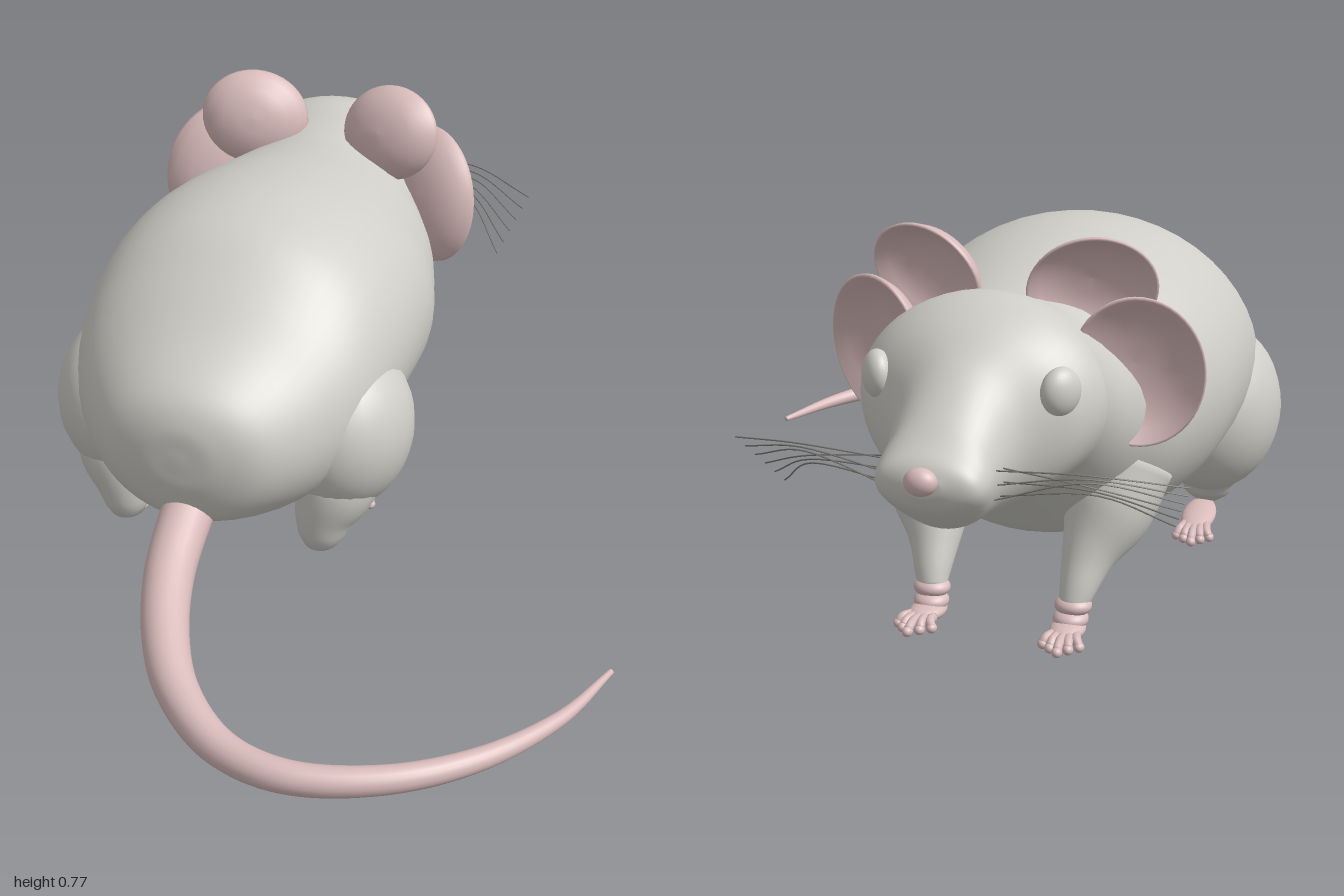
import * as THREE from 'three';

const V = (x, y, z) => new THREE.Vector3(x, y, z);
const CX = -0.24; // centre line of the animal

const fur = new THREE.MeshStandardMaterial({ color: 0xcfcec8 });
fur.name = 'greyFur';
const skin = new THREE.MeshStandardMaterial({ color: 0xd9bcbb });
skin.name = 'pinkSkin';
const hair = new THREE.MeshStandardMaterial({ color: 0x77766f });
hair.name = 'whiskerGrey';

function part(parent, name, geometry, material) {
  const m = new THREE.Mesh(geometry, material);
  m.name = name;
  parent.add(m);
  return m;
}

// Closed smooth surface through a list of rings (equal point counts)
function loft(rings) {
  const n = rings[0].length, pos = [], idx = [];
  rings.forEach(r => r.forEach(p => pos.push(p.x, p.y, p.z)));
  for (let i = 0; i < rings.length - 1; i++) {
    for (let j = 0; j < n; j++) {
      const a = i * n + j, b = i * n + (j + 1) % n;
      idx.push(a, b, a + n, b, b + n, a + n);
    }
  }
  [rings[0], rings[rings.length - 1]].forEach((ring, end) => {
    const c = ring.reduce((s, p) => s.add(p), V(0, 0, 0)).divideScalar(n);
    const k = pos.length / 3, base = end ? (rings.length - 1) * n : 0;
    pos.push(c.x, c.y, c.z);
    for (let j = 0; j < n; j++) {
      const a = base + j, b = base + (j + 1) % n;
      if (end) idx.push(k, a, b); else idx.push(k, b, a);
    }
  });
  const g = new THREE.BufferGeometry();
  g.setAttribute('position', new THREE.Float32BufferAttribute(pos, 3));
  g.setIndex(idx);
  g.computeVertexNormals();
  return g;
}

// Tapering tube through points [x, y, z, radius]
function limb(points, steps, sides) {
  const curve = new THREE.CatmullRomCurve3(points.map(p => V(p[0], p[1], p[2])));
  const radius = new THREE.CatmullRomCurve3(points.map(p => V(p[3], 0, 0)), false, 'catmullrom');
  const frames = curve.computeFrenetFrames(steps, false);
  const rings = [];
  for (let i = 0; i <= steps; i++) {
    const u = i / steps, c = curve.getPointAt(u);
    const r = radius.getPoint(curve.getUtoTmapping(u)).x;
    rings.push(Array.from({ length: sides }, (_, j) => {
      const a = j / sides * Math.PI * 2;
      return c.clone().addScaledVector(frames.normals[i], r * Math.cos(a))
        .addScaledVector(frames.binormals[i], r * Math.sin(a));
    }));
  }
  return loft(rings);
}

function ball(parent, name, material, x, y, z, rx, ry = rx, rz = rx) {
  const m = part(parent, name, new THREE.SphereGeometry(1, 28, 20), material);
  m.position.set(x, y, z);
  m.scale.set(rx, ry, rz);
  return m;
}

// Body and head stations: z, top, bottom, half width
const STATIONS = [
  [0.457, 0.345, 0.315, 0.015], [0.45, 0.41, 0.25, 0.09], [0.41, 0.47, 0.17, 0.18],
  [0.3, 0.54, 0.115, 0.27], [0.2, 0.61, 0.105, 0.32], [0.1, 0.67, 0.1, 0.34],
  [0, 0.695, 0.1, 0.352], [-0.1, 0.7, 0.1, 0.355], [-0.2, 0.69, 0.1, 0.35],
  [-0.3, 0.675, 0.11, 0.325], [-0.4, 0.655, 0.14, 0.295], [-0.5, 0.645, 0.21, 0.245],
  [-0.6, 0.675, 0.285, 0.225], [-0.66, 0.673, 0.305, 0.233], [-0.73, 0.642, 0.303, 0.2],
  [-0.8, 0.59, 0.3, 0.125], [-0.87, 0.53, 0.31, 0.105], [-0.92, 0.487, 0.34, 0.103],
  [-0.955, 0.46, 0.37, 0.085], [-0.972, 0.435, 0.4, 0.03]
];

function bodyGeometry() {
  const line = f => new THREE.CatmullRomCurve3(STATIONS.map(f), false, 'catmullrom', 0.5);
  const heights = line(s => V(s[0], s[1], s[2])), widths = line(s => V(s[3], 0, 0));
  const rings = [];
  for (let i = 0; i <= 110; i++) {
    const h = heights.getPoint(i / 110), w = widths.getPoint(i / 110).x;
    rings.push(Array.from({ length: 48 }, (_, j) => {
      const a = j / 48 * Math.PI * 2;
      return V(CX + w * Math.cos(a), (h.y + h.z) / 2 - (h.y - h.z) / 2 * Math.sin(a), h.x);
    }));
  }
  return loft(rings);
}

// Shallow bowl that opens along the given direction
const EAR = [[0, -0.035], [0.3, -0.033], [0.6, -0.024], [0.85, -0.006], [0.98, 0.016],
  [1, 0.024], [0.96, 0.026], [0.82, 0.008], [0.58, -0.01], [0.3, -0.018], [0, -0.02]];
function ear(parent, name, at, facing, w, h, roll) {
  const m = part(parent, name,
    new THREE.LatheGeometry(EAR.map(p => new THREE.Vector2(...p)), 48), skin);
  const n = facing.normalize();
  const x = V(0, 1, 0).cross(n).normalize();
  m.quaternion.setFromRotationMatrix(new THREE.Matrix4().makeBasis(x, n, x.clone().cross(n)));
  m.quaternion.premultiply(new THREE.Quaternion().setFromAxisAngle(n, roll));
  m.scale.set(w, 1, h);
  m.position.copy(at);
}

// Foot pad with a fan of small toes, pointing to -z
function foot(parent, name, x, z, halfWidth, halfLength, toeReach, turn) {
  const g = new THREE.Group();
  g.name = name;
  ball(g, 'pad', skin, 0, 0.02, 0, halfWidth, 0.017, halfLength);
  for (let i = -2; i <= 2; i++) {
    const reach = -halfLength - toeReach + Math.abs(i) * 0.017;
    const tx = i * 0.015;
    part(g, 'toe', limb([[tx * 0.7, 0.018, -halfLength * 0.5, 0.011],
      [tx, 0.021, (reach - halfLength) / 2, 0.009], [tx * 1.15, 0.012, reach, 0.009]], 8, 10), skin);
    ball(g, 'toeTip', skin, tx * 1.15, 0.011, reach, 0.01, 0.01, 0.012);
  }
  g.position.set(x, 0, z);
  g.rotation.y = turn;
  parent.add(g);
}

export function createModel() {
  const model = new THREE.Group();
  model.name = 'mouse';

  part(model, 'body', bodyGeometry(), fur);
  ball(model, 'nose', skin, CX, 0.43, -0.975, 0.03, 0.025, 0.023);

  // Tail, sweeping round on the ground
  part(model, 'tail', limb([
    [CX, 0.21, 0.34, 0.056], [CX, 0.175, 0.43, 0.054], [-0.225, 0.13, 0.56, 0.051],
    [-0.18, 0.09, 0.7, 0.047], [-0.11, 0.06, 0.82, 0.042], [0.01, 0.037, 0.925, 0.036],
    [0.15, 0.033, 0.965, 0.032], [0.32, 0.029, 0.92, 0.028], [0.47, 0.024, 0.81, 0.023],
    [0.59, 0.018, 0.64, 0.015], [0.655, 0.014, 0.46, 0.006]], 90, 20), skin);

  for (const s of [1, -1]) {
    const side = new THREE.Group();
    side.name = s > 0 ? 'leftSide' : 'rightSide';
    model.add(side);
    const X = d => CX + s * d;

    const eye = ball(side, 'eye', fur, X(0.172), 0.537, -0.735, 0.028, 0.045, 0.042);
    eye.rotation.y = s * 0.55;

    // Upper and lower ear bowls
    ear(side, 'upperEar', V(X(0.155), 0.672, -0.487), V(s * 0.3, -0.3, -1), 0.122, 0.107, -s * 0.2);
    ear(side, 'lowerEar', V(X(0.245), 0.525, -0.505), V(s * 0.5, -0.22, -1), 0.125, 0.157, -s * 0.3);

    // Hind leg
    ball(side, 'haunch', fur, X(0.245), 0.27, 0.115, 0.145, 0.18, 0.175);
    part(side, 'hindLeg', limb([[X(0.25), 0.24, 0.13, 0.11], [X(0.24), 0.15, 0.18, 0.09],
      [X(0.225), 0.09, 0.2, 0.064], [X(0.22), 0.04, 0.205, 0.045],
      [X(0.22), 0.025, 0.2, 0.02]], 20, 24), fur);
    foot(side, 'hindFoot', X(0.225), 0.115, 0.036, 0.105, 0.035, -s * 0.12);

    // Front leg with a two-fold pink wrist
    part(side, 'frontLeg', limb([[X(0.19), 0.3, -0.39, 0.1], [X(0.175), 0.21, -0.44, 0.085],
      [X(0.155), 0.14, -0.49, 0.052], [X(0.145), 0.08, -0.53, 0.034],
      [X(0.14), 0.05, -0.545, 0.026]], 20, 24), fur);
    ball(side, 'wrist', skin, X(0.142), 0.058, -0.541, 0.036, 0.02, 0.034);
    ball(side, 'lowerWrist', skin, X(0.14), 0.034, -0.55, 0.034, 0.02, 0.036);
    foot(side, 'frontFoot', X(0.14), -0.57, 0.034, 0.052, 0.04, -s * 0.08);

    // Whiskers
    for (let i = 0; i < 6; i++) {
      const k = i / 5, drop = 0.41 - 0.11 * k;
      const path = new THREE.CatmullRomCurve3([V(X(0.09), 0.43 - 0.03 * (i % 3), -0.88 + 0.04 * k),
        V(X(0.26), (0.43 + drop) / 2 + 0.02, -0.88 + 0.06 * k),
        V(X(0.425 - 0.05 * k), drop, -0.8 + 0.1 * k)]);
      part(side, 'whisker', new THREE.TubeGeometry(path, 14, 0.0015, 5), hair);
    }
  }
  return model;
}
